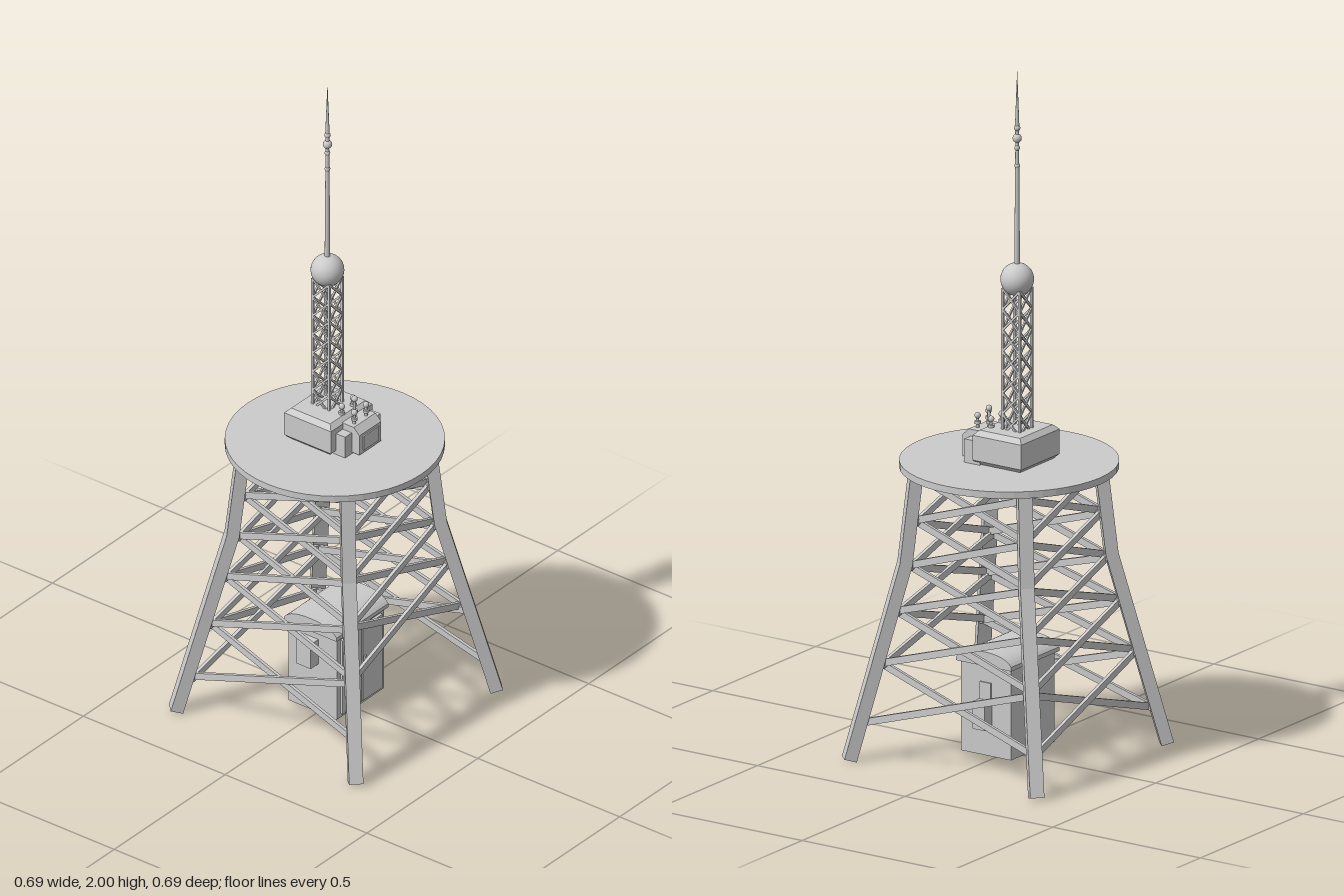
import * as THREE from 'three';

const mat = new THREE.MeshStandardMaterial({ color: 0xcccccc });
const flat = new THREE.MeshStandardMaterial({ color: 0xcccccc, flatShading: true });
const V = (x, y, z) => new THREE.Vector3(x, y, z);

function add(parent, name, geo, x = 0, y = 0, z = 0, material = mat) {
  const m = new THREE.Mesh(geo, material);
  m.name = name;
  m.position.set(x, y, z);
  parent.add(m);
  return m;
}

// Box given by its lower and upper corners
function block(parent, name, a, b) {
  return add(parent, name, new THREE.BoxGeometry(b[0] - a[0], b[1] - a[1], b[2] - a[2]),
    (a[0] + b[0]) / 2, (a[1] + b[1]) / 2, (a[2] + b[2]) / 2);
}

// Rectangular bar from a to b; its depth follows the outward direction
function beam(parent, name, a, b, width, depth, out) {
  const dir = b.clone().sub(a);
  const m = add(parent, name, new THREE.BoxGeometry(width, dir.length(), depth));
  m.position.copy(a).add(b).multiplyScalar(0.5);
  const y = dir.normalize();
  const x = y.clone().cross(out).normalize();
  m.quaternion.setFromRotationMatrix(new THREE.Matrix4().makeBasis(x, y, x.clone().cross(y)));
  return m;
}

function group(parent, name) {
  const g = new THREE.Group();
  g.name = name;
  parent.add(g);
  return g;
}

// Distance of a leg's centre line from the axis, along x and z, at a height
const legAt = y => y < 0.57 ? 0.318 - (0.318 - 0.205) * y / 0.57 : 0.205 - 0.022 * (y - 0.57) / 0.27;

function tower(parent) {
  const legs = group(parent, 'legs');
  for (const sx of [-1, 1]) for (const sz of [-1, 1]) {
    const p = y => V(sx * legAt(y), y, sz * legAt(y));
    beam(legs, 'lowerLeg', p(0.008), p(0.575), 0.04, 0.036, V(sx, 0, sz));
    beam(legs, 'upperLeg', p(0.565), p(0.84), 0.04, 0.036, V(sx, 0, sz));
  }
  // Crossed braces on four sides; the lowest front cross is left out for the doors
  const levels = [0.11, 0.28, 0.43, 0.56, 0.69, 0.815];
  for (let side = 0; side < 4; side++) {
    const braces = group(parent, 'braces');
    braces.rotation.y = side * Math.PI / 2;
    for (let i = side === 0 ? 1 : 0; i < 5; i++) {
      const [lo, hi] = [levels[i], levels[i + 1]];
      for (const s of [-1, 1]) {
        const shift = -0.015 + s * 0.005;
        beam(braces, 'brace', V(-s * legAt(lo), lo, legAt(lo) + shift),
          V(s * legAt(hi), hi, legAt(hi) + shift), 0.02, 0.01, V(0, 0, 1));
      }
    }
  }
  add(parent, 'platform', new THREE.CylinderGeometry(0.306, 0.306, 0.02, 48), 0, 0.847, -0.004, flat);
}

function cabinet(parent) {
  const g = group(parent, 'cabinet');
  block(g, 'cabinetBody', [-0.105, 0.022, -0.085], [0.107, 0.29, 0.085]);
  // Arched roof, extruded across x
  const s = new THREE.Shape();
  s.moveTo(-0.093, 0);
  s.lineTo(0.093, 0);
  s.lineTo(0.093, 0.012);
  s.bezierCurveTo(0.075, 0.034, 0.045, 0.041, 0, 0.041);
  s.bezierCurveTo(-0.045, 0.041, -0.075, 0.034, -0.093, 0.012);
  const roof = new THREE.ExtrudeGeometry(s, { depth: 0.234, bevelEnabled: false, curveSegments: 8 });
  roof.rotateY(Math.PI / 2);
  add(g, 'cabinetRoof', roof, -0.116, 0.285, 0);
  for (const c of [-0.0455, 0.0475]) {
    block(g, 'door', [c - 0.044, 0.035, 0.08], [c + 0.044, 0.275, 0.093]);
  }
  block(g, 'doorHandle', [0.008, 0.14, 0.09], [0.014, 0.18, 0.098]);
  block(g, 'rightSideBox', [-0.14, 0.18, -0.03], [-0.1, 0.26, 0.02]);
  block(g, 'leftSideBox', [0.1, 0.105, -0.02], [0.143, 0.185, 0.02]);
  block(g, 'leftConduit', [0.1, 0.18, -0.018], [0.112, 0.235, 0.018]);
}

function equipment(parent) {
  const g = group(parent, 'equipment');
  // Chamfered base housing
  const [w, d, c] = [0.187, 0.165, 0.014];
  const s = new THREE.Shape();
  const x = w / 2 - c, z = d / 2 - c;
  s.moveTo(-x, -z);
  s.lineTo(x, -z);
  s.lineTo(x, z);
  s.lineTo(-x, z);
  const base = new THREE.ExtrudeGeometry(s, {
    depth: 0.072, bevelEnabled: true, bevelSegments: 1, bevelSize: c, bevelThickness: c,
  });
  base.rotateX(-Math.PI / 2);
  add(g, 'baseHousing', base, 0.005, 0.87, -0.031, flat);
  block(g, 'sideHousing', [-0.065, 0.857, 0.03], [0.094, 0.925, 0.083]);
  // Front unit with a sloped upper front edge
  const p = new THREE.Shape();
  p.moveTo(0.012, 0.862);
  p.lineTo(0.11, 0.862);
  p.lineTo(0.11, 0.925);
  p.lineTo(0.09, 0.945);
  p.lineTo(0.012, 0.945);
  const unit = new THREE.ExtrudeGeometry(p, { depth: 0.098, bevelEnabled: false });
  unit.rotateY(-Math.PI / 2);
  add(g, 'frontUnit', unit, 0.063, 0, 0, flat);
  block(g, 'frontPanel', [-0.02, 0.872, 0.105], [0.048, 0.918, 0.114]);
  // Insulator posts
  const posts = [[-0.012, 0.03, 0.98], [0.043, 0.027, 0.98], [-0.016, 0.077, 0.98], [0.037, 0.077, 0.98], [0.016, 0.053, 1.0]];
  for (const [px, pz, top] of posts) {
    add(g, 'post', new THREE.CylinderGeometry(0.004, 0.005, top - 0.94, 8), px, (top + 0.94) / 2, pz);
    add(g, 'postCollar', new THREE.CylinderGeometry(0.009, 0.009, 0.008, 12), px, 0.96, pz);
    add(g, 'postCap', new THREE.SphereGeometry(0.009, 12, 8), px, top, pz);
  }
}

function mast(parent) {
  const g = group(parent, 'mast');
  g.position.set(0.01, 0, -0.038);
  const r = 0.029, y0 = 0.94, y1 = 1.365, n = 7, h = (y1 - y0) / n;
  // Square lattice: a post and zigzag crosses on each of four sides
  for (let side = 0; side < 4; side++) {
    const face = group(g, 'latticeSide');
    face.rotation.y = side * Math.PI / 2;
    beam(face, 'latticePost', V(r, y0, r), V(r, y1, r), 0.007, 0.007, V(0, 0, 1));
    for (let i = 0; i < n; i++) for (const s of [-1, 1]) {
      beam(face, 'latticeBrace', V(-s * r, y0 + i * h, r), V(s * r, y0 + (i + 1) * h, r), 0.006, 0.005, V(0, 0, 1));
    }
  }
  add(g, 'ball', new THREE.SphereGeometry(0.047, 32, 20), 0, 1.39, 0);
  // Tapered spire
  const profile = [[0, 1.42], [0.008, 1.42], [0.006, 1.7], [0.005, 1.79], [0.006, 1.84], [0.003, 1.92], [0, 2]];
  add(g, 'spire', new THREE.LatheGeometry(profile.map(q => new THREE.Vector2(...q)), 12));
  for (const [y, size] of [[1.8, 0.013], [1.772, 0.008], [1.83, 0.009], [1.72, 0.008]]) {
    add(g, 'spireBead', new THREE.SphereGeometry(size, 16, 10), 0, y, 0);
  }
}

export function createModel() {
  const model = new THREE.Group();
  model.name = 'transmissionTower';
  tower(model);
  cabinet(model);
  equipment(model);
  mast(model);
  return model;
}
